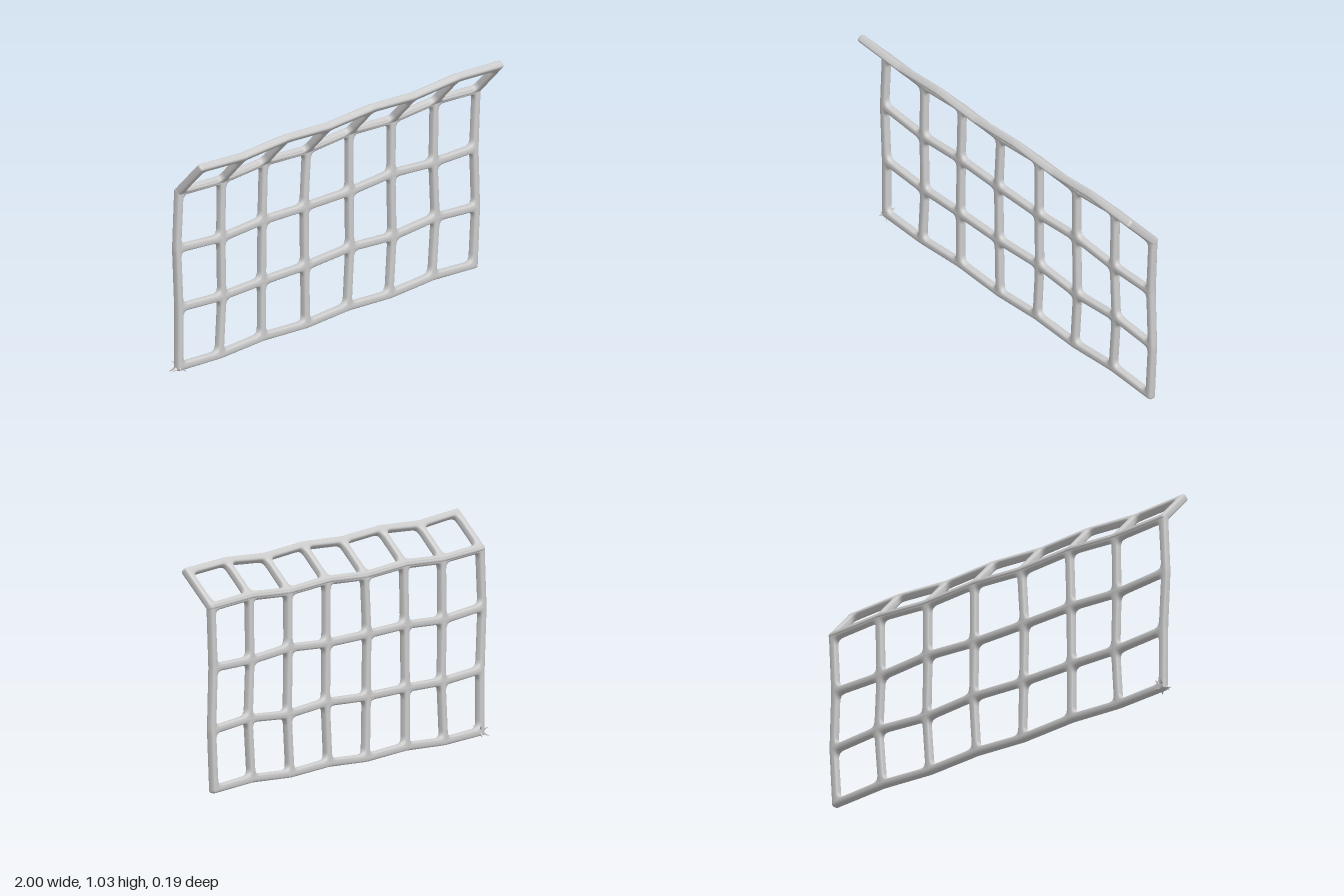
import * as THREE from 'three';
import { mergeGeometries, toCreasedNormals } from 'three/addons/utils/BufferGeometryUtils.js';

const HW = 0.018;      // half width of a bar
const THICK = 0.038;   // bar thickness
const PLANE_Z = -0.06; // centre of the upright panel
const BEND_Y = 0.862, BEND = 0.755;
const PROFILE_STEPS = 10, FILLET_STEPS = 6;

// Joint positions: slightly uneven columns and rows
const COLS_BY_ROW = [
  [-0.952, -0.69, -0.416, -0.13, 0.14, 0.412, 0.69, 0.956],
  [-0.952, -0.674, -0.416, -0.136, 0.156, 0.43, 0.71, 0.972],
  [-0.966, -0.68, -0.412, -0.14, 0.152, 0.424, 0.698, 0.962],
  [-0.952, -0.676, -0.404, -0.125, 0.152, 0.426, 0.704, 0.976],
  [-0.95, -0.676, -0.404, -0.125, 0.152, 0.426, 0.704, 0.979],
];
const ROWS = [
  [0.036, 0.026, 0.038, 0.025, 0.038, 0.026, 0.04, 0.026],
  [0.315, 0.3, 0.304, 0.303, 0.315, 0.298, 0.315, 0.298],
  [0.6, 0.58, 0.592, 0.586, 0.584, 0.598, 0.58, 0.58],
  [0.87, 0.856, 0.87, 0.855, 0.87, 0.856, 0.872, 0.858],
  [1.015, 0.998, 1.013, 0.999, 1.013, 0.998, 1.015, 1.003],
];
const nodes = ROWS.map((row, r) => row.map((y, c) => [COLS_BY_ROW[r][c], y]));

const mix = (a, b, t) => [a[0] + (b[0] - a[0]) * t, a[1] + (b[1] - a[1]) * t];
const shift = (p, dx, dy) => [p[0] + dx * HW, p[1] + dy * HW];

// Half a bar swept round a loop: from the bars' centre lines to their filleted edge
function barRing(centre, edge, radius) {
  const n = edge.length, pairs = [];
  edge.forEach((p, i) => {
    const prev = (i + n - 1) % n, next = (i + 1) % n;
    const cut = (j) => Math.min(radius / Math.hypot(edge[j][0] - p[0], edge[j][1] - p[1]), 0.45);
    const a = mix(p, edge[prev], cut(prev)), b = mix(p, edge[next], cut(next));
    const ca = mix(centre[i], centre[prev], cut(prev)), cb = mix(centre[i], centre[next], cut(next));
    for (let k = 0; k <= FILLET_STEPS; k++) {
      const t = k / FILLET_STEPS;
      pairs.push([
        t < 0.5 ? mix(ca, centre[i], 2 * t) : mix(centre[i], cb, 2 * t - 1),
        mix(mix(a, p, t), mix(p, b, t), t),
      ]);
    }
  });
  const position = [], index = [], stride = PROFILE_STEPS + 1;
  pairs.forEach(([c, e], k) => {
    for (let j = 0; j <= PROFILE_STEPS; j++) {
      const angle = Math.PI * (0.5 - j / PROFILE_STEPS);
      const s = Math.sin(angle);
      const reach = Math.abs(Math.cos(angle)) ** 0.62;
      position.push(...mix(c, e, reach), Math.sign(s) * Math.abs(s) ** 0.62 * THICK / 2);
      if (j === PROFILE_STEPS) continue;
      const v = k * stride + j, w = ((k + 1) % pairs.length) * stride + j;
      index.push(v, w, v + 1, w, w + 1, v + 1);
    }
  });
  const geo = new THREE.BufferGeometry();
  geo.setAttribute('position', new THREE.Float32BufferAttribute(position, 3));
  geo.setIndex(index);
  geo.computeVertexNormals();
  return geo;
}

// A sheet of joined bars: one ring per opening and one round the outside
function latticeGeometry(grid) {
  const last = grid.length - 1, lc = grid[0].length - 1;
  const rings = [];
  for (let r = 0; r < last; r++) {
    for (let c = 0; c < lc; c++) {
      const corners = [grid[r][c], grid[r][c + 1], grid[r + 1][c + 1], grid[r + 1][c]];
      const inset = [[1, 1], [-1, 1], [-1, -1], [1, -1]];
      rings.push(barRing(corners, corners.map((p, i) => shift(p, ...inset[i])), 0.034));
    }
  }
  const side = (i, end) => (i === 0 ? -1 : i === end ? 1 : 0);
  const entry = (r, c) => ({ p: grid[r][c], d: [side(c, lc), side(r, last)] });
  const cols = grid[0].map((_, c) => c);
  const inner = cols.slice(1, last);
  const border = [
    ...cols.map((c) => entry(0, c)),
    ...inner.map((r) => entry(r, lc)),
    ...cols.map((c) => entry(last, lc - c)),
    ...inner.map((r) => entry(last - r, 0)),
  ].reverse();
  rings.push(barRing(border.map((b) => b.p), border.map((b) => shift(b.p, ...b.d)), 0.014));
  return mergeGeometries(rings);
}

// Height of the bend line above its mean at a given x
function wave(x) {
  const row = nodes[3];
  let c = 0;
  while (c < row.length - 2 && x > row[c + 1][0]) c++;
  const t = THREE.MathUtils.clamp((x - row[c][0]) / (row[c + 1][0] - row[c][0]), 0, 1);
  return mix(row[c], row[c + 1], t)[1] - BEND_Y;
}

export function createModel() {
  const group = new THREE.Group();
  group.name = 'barredFence';
  const metal = new THREE.MeshStandardMaterial({ color: 0xcccccc });
  const add = (geo, name, parent = group) => {
    const mesh = new THREE.Mesh(geo, metal);
    mesh.name = name;
    parent.add(mesh);
    return mesh;
  };

  // Upright part
  add(latticeGeometry(nodes.slice(0, 4)).translate(0, 0, PLANE_Z), 'uprightLattice');

  // Top row, leaning forward from the bend
  const slanted = nodes.slice(3).map((row) =>
    row.map(([x, y]) => [x, (y - BEND_Y) / Math.cos(BEND)]));
  const upper = latticeGeometry(slanted).rotateX(BEND).translate(0, BEND_Y, PLANE_Z);
  const pos = upper.attributes.position;
  for (let i = 0; i < pos.count; i++) {
    pos.setZ(i, pos.getZ(i) - Math.tan(BEND) * wave(pos.getX(i)));
  }
  add(upper, 'leaningTopLattice');

  // Jagged burr on one bottom corner
  const burr = new THREE.Group();
  burr.name = 'cornerBurr';
  group.add(burr);
  const centre = new THREE.Vector3(-0.948, 0.036, -0.06);
  const tips = [
    [-1, 0.015, -0.062], [-0.985, 0.012, -0.092], [-0.965, 0.058, -0.097],
    [-0.926, 0.066, -0.09], [-0.924, 0.016, -0.097], [-0.928, 0.066, -0.036],
    [-0.97, 0.025, -0.032], [-0.926, 0.01, -0.036],
  ];
  for (const tip of tips) {
    const dir = new THREE.Vector3(...tip).sub(centre);
    const len = dir.length();
    const geo = new THREE.ConeGeometry(0.014, len, 4).translate(0, len / 2, 0);
    const spike = add(toCreasedNormals(geo, 0.5), 'burrSpike', burr);
    spike.position.copy(centre);
    spike.quaternion.setFromUnitVectors(new THREE.Vector3(0, 1, 0), dir.normalize());
  }
  return group;
}
